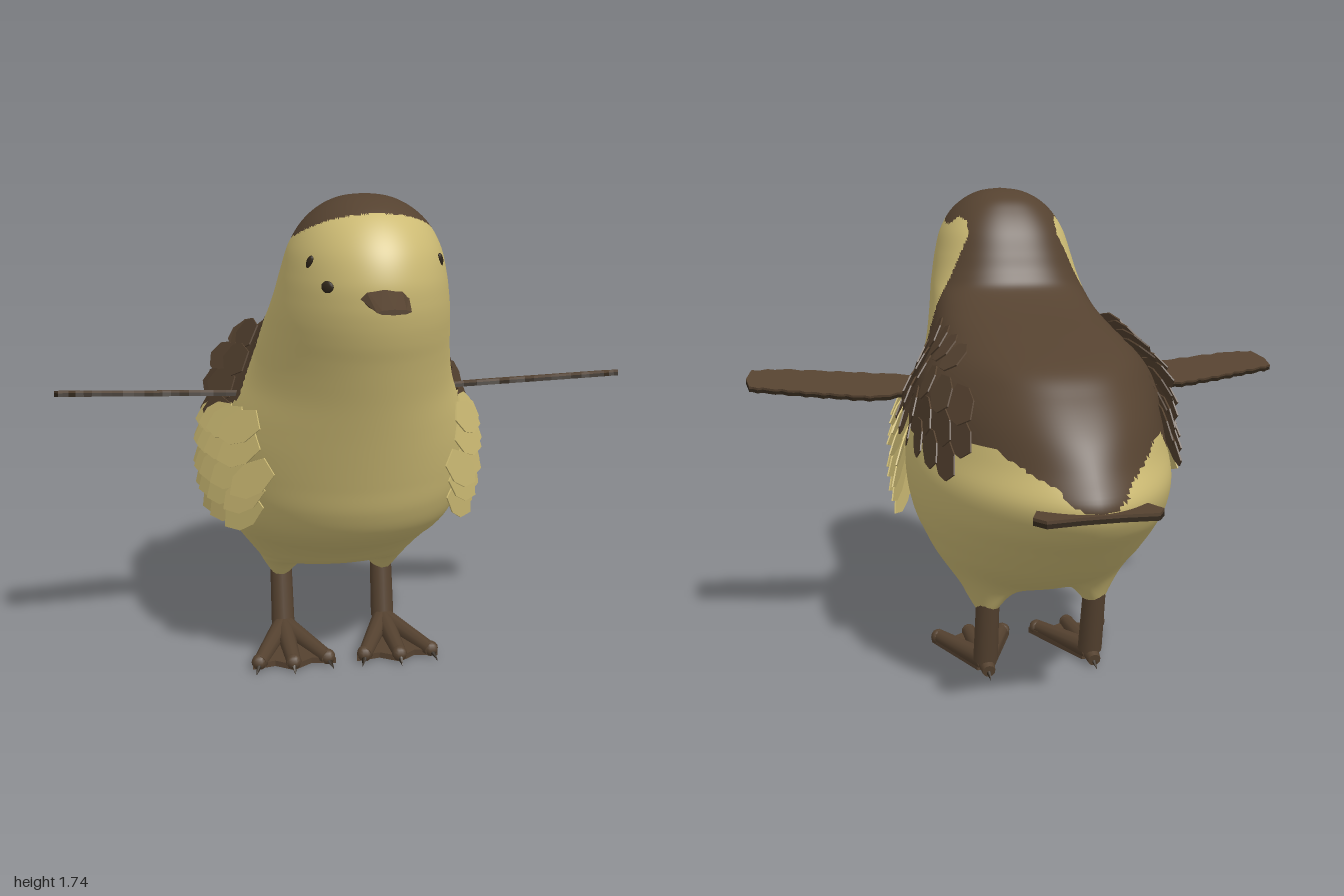
import * as THREE from 'three';
import { mergeGeometries } from 'three/addons/utils/BufferGeometryUtils.js';

const V = (x, y, z) => new THREE.Vector3(x, y, z);
const mat = (name, color) => new THREE.MeshStandardMaterial({ name, color });

// Horizontal body sections: height, front z, back z, z of widest point, half width
const SECTIONS = [
  [0.325, -0.12, -0.12, -0.12, 0], [0.34, 0.0, -0.25, -0.12, 0.235], [0.37, 0.065, -0.32, -0.12, 0.29],
  [0.42, 0.135, -0.43, -0.12, 0.335], [0.48, 0.235, -0.535, -0.11, 0.375], [0.54, 0.355, -0.62, -0.1, 0.405],
  [0.61, 0.45, -0.71, -0.09, 0.435], [0.7, 0.51, -0.82, -0.08, 0.455], [0.8, 0.548, -0.87, -0.07, 0.46],
  [0.9, 0.585, -0.81, -0.04, 0.445], [1.0, 0.622, -0.74, 0.02, 0.41], [1.1, 0.66, -0.64, 0.1, 0.365],
  [1.18, 0.692, -0.53, 0.18, 0.335], [1.25, 0.72, -0.31, 0.25, 0.315], [1.31, 0.745, -0.08, 0.31, 0.3],
  [1.37, 0.764, 0.07, 0.36, 0.288], [1.43, 0.775, 0.12, 0.4, 0.274], [1.5, 0.775, 0.15, 0.43, 0.258],
  [1.58, 0.75, 0.185, 0.45, 0.235], [1.65, 0.7, 0.235, 0.46, 0.195], [1.7, 0.635, 0.29, 0.46, 0.14],
  [1.73, 0.55, 0.37, 0.46, 0.075], [1.74, 0.46, 0.46, 0.46, 0],
];
const curves = [1, 2, 3, 4].map(k => new THREE.SplineCurve(SECTIONS.map(r => new THREE.Vector2(r[0], r[k]))));

function section(t) {
  const [f, b, c, w] = curves.map(curve => curve.getPoint(t));
  return {
    y: f.x, zc: c.y, w: Math.max(w.y, 0), front: Math.max(f.y - c.y, 0), back: Math.max(c.y - b.y, 0),
    // the rump tapers, the upper back is broad
    power: 1.75 + 0.65 * THREE.MathUtils.smoothstep(f.x, 0.85, 1.2),
  };
}

function sectionAt(y) {
  let lo = 0, hi = 1;
  for (let i = 0; i < 24; i++) {
    const m = (lo + hi) / 2;
    if (section(m).y < y) lo = m; else hi = m;
  }
  return section(lo);
}

// Swelling of the folded wings
const widen = (x, y, z) =>
  x + 0.05 * Math.min(1, x / 0.2) * Math.exp(-(((z + 0.17) / 0.26) ** 2) - ((y - 1.1) / 0.13) ** 2);

function surfaceX(z, y) {
  const s = sectionAt(y), ahead = z > s.zc, n = ahead ? 2 : s.power;
  const u = Math.min(Math.abs(z - s.zc) / (ahead ? s.front : s.back), 0.985);
  return widen(s.w * (1 - u ** n) ** (1 / n), y, z);
}

// Lower edge of the dark crown, nape and back: z, y
const EDGE = [
  [-1, 0.7], [-0.87, 0.79], [-0.8, 0.86], [-0.6, 0.95], [-0.5, 0.95], [-0.42, 0.87], [0, 0.92], [0.2, 1.05],
  [0.225, 1.3], [0.235, 1.57], [0.28, 1.62], [0.33, 1.635], [0.37, 1.605], [0.45, 1.61], [0.55, 1.645],
  [0.64, 1.685], [0.9, 1.8],
];
function isDark(y, z) {
  const i = Math.max(1, EDGE.findIndex(p => p[0] > z));
  const [a, b] = [EDGE[i - 1], EDGE[i]];
  return y > a[1] + (b[1] - a[1]) * (z - a[0]) / (b[0] - a[0]);
}

function bodyGeometry() {
  const rows = 160, cols = 180, pos = [], pale = [], dark = [];
  for (let i = 0; i <= rows; i++) {
    const s = section(i / rows);
    for (let j = 0; j < cols; j++) {
      const a = j / cols * Math.PI * 2, c = Math.cos(a), d = Math.sin(a), e = d > 0 ? 1 : 2 / s.power;
      const z = s.zc + (d > 0 ? s.front : s.back) * Math.sign(d) * Math.abs(d) ** e;
      const x = Math.sign(c) * widen(s.w * Math.abs(c) ** e, s.y, z);
      // thigh bulges drawn down toward the legs
      const thigh = Math.exp(-(((Math.abs(x) - 0.205) / 0.07) ** 2) - ((z + 0.18) / 0.085) ** 2);
      const low = THREE.MathUtils.clamp((0.58 - s.y) / 0.22, 0, 1);
      pos.push(x, s.y - 0.11 * thigh * low, z);
    }
  }
  const id = (i, j) => i * cols + j % cols;
  const tri = (...t) => {
    const mid = k => t.reduce((sum, v) => sum + pos[v * 3 + k], 0) / 3;
    (isDark(mid(1), mid(2)) ? dark : pale).push(...t);
  };
  for (let i = 0; i < rows; i++) for (let j = 0; j < cols; j++) {
    tri(id(i, j), id(i + 1, j), id(i + 1, j + 1));
    tri(id(i, j), id(i + 1, j + 1), id(i, j + 1));
  }
  const g = new THREE.BufferGeometry();
  g.setAttribute('position', new THREE.Float32BufferAttribute(pos, 3));
  g.setIndex([...pale, ...dark]);
  g.addGroup(0, pale.length, 0);
  g.addGroup(pale.length, dark.length, 1);
  g.computeVertexNormals();
  return g;
}

// Flat plate from an outline
function plate(points, depth) {
  const shape = new THREE.Shape(points.map(p => new THREE.Vector2(p[0], p[1])));
  return new THREE.ExtrudeGeometry(shape, { depth, bevelEnabled: false });
}

// Tapered rod between two points
function rod(a, b, ra, rb, sides = 10) {
  const dir = b.clone().sub(a), g = new THREE.CylinderGeometry(rb, ra, dir.length(), sides).toNonIndexed();
  g.applyQuaternion(new THREE.Quaternion().setFromUnitVectors(V(0, 1, 0), dir.clone().normalize()));
  const m = a.clone().add(b).multiplyScalar(0.5);
  return g.translate(m.x, m.y, m.z);
}

// Mirror across x, keeping faces outward
function mirrored(geometry) {
  const g = geometry.index ? geometry.toNonIndexed() : geometry.clone();
  for (const attr of Object.values(g.attributes)) {
    const n = attr.itemSize, arr = attr.array;
    for (let i = 0; i < arr.length; i += 3 * n) for (let k = 0; k < n; k++) {
      [arr[i + n + k], arr[i + 2 * n + k]] = [arr[i + 2 * n + k], arr[i + n + k]];
    }
    if (n === 3) for (let i = 0; i < arr.length; i += 3) arr[i] *= -1;
  }
  return g;
}

// Feather lying on the left flank, tip lifted
function feather(z, y, length, width, slope, lift) {
  const e = 0.02, x = surfaceX(z, y);
  const n = V(1, -(surfaceX(z, y + e) - surfaceX(z, y - e)) / (2 * e),
    -(surfaceX(z + e, y) - surfaceX(z - e, y)) / (2 * e)).normalize();
  const d = V(0, slope, -1);
  d.addScaledVector(n, -d.dot(n)).normalize();
  const up = d.clone().multiplyScalar(Math.cos(lift)).addScaledVector(n, Math.sin(lift));
  const out = n.clone().multiplyScalar(Math.cos(lift)).addScaledVector(d, -Math.sin(lift));
  const w = width / 2;
  const g = plate([[-w * 0.6, 0], [w * 0.6, 0], [w, length * 0.4], [w * 0.8, length * 0.75], [0, length],
    [-w * 0.8, length * 0.75], [-w, length * 0.4]], 0.005);
  return g.applyMatrix4(new THREE.Matrix4().makeBasis(up.clone().cross(out), up, out).setPosition(x, y, z));
}

export function createModel() {
  const model = new THREE.Group();
  model.name = 'duckling';
  const pale = mat('pale yellow down', 0xcdbb74);
  const brown = mat('brown down', 0x554230);
  const shade = mat('dark brown underside', 0x30261a);
  const add = (name, geometry, material) => {
    const m = new THREE.Mesh(geometry, material);
    m.name = name;
    model.add(m);
  };
  const pair = (name, geometry, material) => {
    add(name + 'Left', geometry, material);
    add(name + 'Right', mirrored(geometry), material);
  };

  add('body', bodyGeometry(), [pale, brown]);

  // Breast feathers: row height, first root z, count
  const breast = [];
  [[0.72, 0.33, 3], [0.79, 0.39, 4], [0.86, 0.41, 5], [0.94, 0.4, 5], [1.01, 0.37, 4]].forEach(([y, z0, count], r) => {
    for (let i = 0; i < count; i++) {
      breast.push(feather(z0 - i * 0.1 - (r % 2) * 0.03, y - i * 0.012, 0.2, 0.11, -0.5, 0.25));
    }
  });
  pair('breastFeathers', mergeGeometries(breast), pale);

  // Folded wing feathers
  const folded = [];
  [0.98, 1.07, 1.16, 1.25].forEach((y, r) => {
    for (let i = 0; i < 6 - (r > 2 ? 2 : 0); i++) {
      const z = 0.15 - i * 0.1 - (r % 2) * 0.04;
      folded.push(feather(z, y - (0.15 - z) * 0.15, 0.2, 0.12, -0.22, 0.17));
    }
  });
  pair('foldedWingFeathers', mergeGeometries(folded), brown);

  // Outstretched wings with ragged edges
  const lead = new THREE.SplineCurve([[0.36, 0.16], [0.55, 0.185], [0.7, 0.205], [0.87, 0.225], [0.98, 0.215]]
    .map(p => new THREE.Vector2(...p))).getPoints(20);
  const trail = new THREE.SplineCurve([[0.99, 0.06], [0.85, 0.025], [0.7, -0.01], [0.55, -0.03], [0.36, 0.04]]
    .map(p => new THREE.Vector2(...p))).getPoints(30);
  const outline = [...lead, new THREE.Vector2(1, 0.14), ...trail]
    .map((p, i) => [p.x, p.y + 0.006 * Math.sin(i * 2.3)]);
  const wing = (drop, depth) => plate(outline, depth).rotateX(Math.PI / 2).translate(0, -drop, 0)
    .rotateX(-0.22).rotateZ(0.035).translate(0, 1.015, 0);
  pair('wingUpper', wing(0, 0.008), brown);
  pair('wingLower', wing(0.008, 0.012), shade);

  // Tail fan
  const tail = [[-0.15, -0.72], [0.15, -0.72], [0.205, -0.85], [0.175, -0.895], [0.06, -0.885], [-0.06, -0.885],
    [-0.175, -0.895], [-0.205, -0.85]];
  add('tailUpper', plate(tail, 0.01).rotateX(Math.PI / 2).translate(0, 0.795, 0), brown);
  add('tailLower', plate(tail, 0.014).rotateX(Math.PI / 2).translate(0, 0.785, 0), shade);

  // Beak
  const bill = new THREE.CylinderGeometry(0.05, 0.08, 0.17, 8).rotateX(Math.PI / 2);
  const p = bill.attributes.position;
  for (let i = 0; i < p.count; i++) {
    const f = p.getZ(i) / 0.17 + 0.5;
    p.setXYZ(i, p.getX(i), p.getY(i) * (0.5 - 0.34 * f) + 1.463 - 0.028 * f, p.getZ(i) + 0.805);
  }
  const beak = bill.toNonIndexed();
  beak.computeVertexNormals();
  add('beak', beak, brown);

  // Eyes, and a dark fleck on the right cheek
  const eye = new THREE.SphereGeometry(1, 12, 8).scale(0.008, 0.022, 0.012).rotateX(0.5).rotateY(-0.6);
  pair('eye', eye.translate(surfaceX(0.63, 1.55), 1.55, 0.63), shade);
  const fleck = new THREE.SphereGeometry(1, 12, 8).scale(0.022, 0.018, 0.008).rotateY(-0.75);
  add('cheekFleck', fleck.translate(-surfaceX(0.705, 1.485), 1.485, 0.705), shade);

  // Legs
  pair('leg', rod(V(0.2, 0.05, -0.14), V(0.2, 0.3, -0.19), 0.045, 0.042, 14), brown);

  // Webbed feet
  const toes = [rod(V(0.2, 0.045, -0.12), V(0.2, 0.025, -0.2), 0.034, 0.024)];
  const claws = [rod(V(0.2, 0.022, -0.19), V(0.2, 0.004, -0.23), 0.01, 0.001, 6)];
  for (const x of [0.07, 0.2, 0.325]) {
    const end = V(x, 0.031, x === 0.2 ? 0.18 : 0.16);
    toes.push(rod(V(0.2, 0.045, -0.14), end, 0.038, 0.027));
    const knuckle = new THREE.SphereGeometry(0.029, 10, 8).toNonIndexed();
    toes.push(knuckle.translate(end.x, end.y, end.z - 0.01));
    claws.push(rod(end, V(x + (x - 0.2) * 0.12, 0.004, end.z + 0.04), 0.014, 0.001, 6));
  }
  pair('toes', mergeGeometries(toes), brown);
  pair('claws', mergeGeometries(claws), shade);
  const web = plate([[0.17, -0.14], [0.23, -0.14], [0.35, 0.16], [0.265, 0.145], [0.2, 0.19], [0.13, 0.145],
    [0.04, 0.16]], 0.022);
  pair('web', web.rotateX(Math.PI / 2).translate(0, 0.028, 0), brown);

  return model;
}
